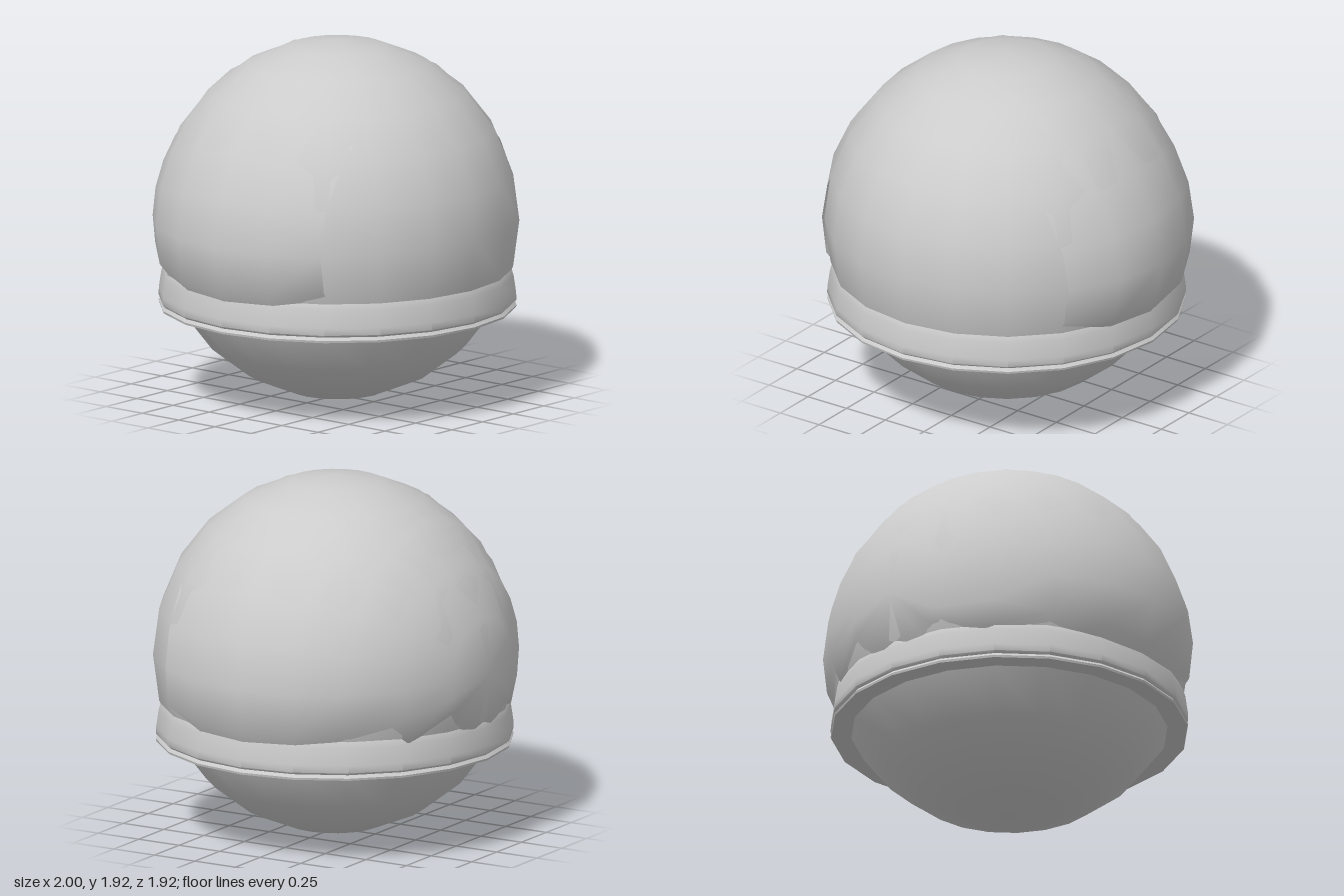
import * as THREE from 'three';
import { mergeVertices, toCreasedNormals } from 'three/addons/utils/BufferGeometryUtils.js';

const R = 0.96; // head radius, also the height of its centre
const material = new THREE.MeshStandardMaterial({ color: 0xcccccc, side: THREE.DoubleSide });

function part(name, geometry, y = 0) {
  const mesh = new THREE.Mesh(geometry, material);
  mesh.name = name;
  mesh.position.y = y;
  return mesh;
}

// Thin shell over the back, top and sides, widest at the sides and tucked in at its edges
function shellGeometry() {
  const g = new THREE.SphereGeometry(R + 0.001, 24, 7, 0, Math.PI * 2, 0, Math.PI * 0.7);
  g.rotateX(-Math.PI / 2); // pole points backwards
  g.deleteAttribute('uv');
  g.deleteAttribute('normal');
  const p = g.attributes.position;
  const v = new THREE.Vector3();
  for (let i = 0; i < p.count; i++) {
    v.fromBufferAttribute(p, i);
    const widen = 0.041 * (1 - THREE.MathUtils.smoothstep(v.y, 0, 0.6));
    const frontEdge = v.z > 0.45;
    const below = v.y < -0.3;
    v.x *= 1 + widen;
    if (frontEdge) v.multiplyScalar(0.985);
    if (below) v.multiplyScalar(0.93);
    p.setXYZ(i, v.x, v.y, v.z);
  }
  const merged = mergeVertices(g, 1e-4);
  merged.computeVertexNormals();
  return merged;
}

// Collar band with a flat underside, a thin lip and a sloping top
function bandGeometry() {
  const profile = [
    [0.8, 0.49], [0.942, 0.49], [0.945, 0.502], [0.932, 0.518],
    [0.945, 0.53], [0.943, 0.57], [0.93, 0.66], [0.917, 0.705], [0.89, 0.74],
  ].map(([r, y]) => new THREE.Vector2(r, y));
  const g = new THREE.LatheGeometry(profile, 20, Math.PI / 2);
  return toCreasedNormals(g, 0.9);
}

export function createModel() {
  const model = new THREE.Group();
  model.name = 'roundHead';
  model.add(part('head', new THREE.SphereGeometry(R, 20, 12), R));
  model.add(part('outerShell', shellGeometry(), R));
  model.add(part('collarBand', bandGeometry()));
  return model;
}
